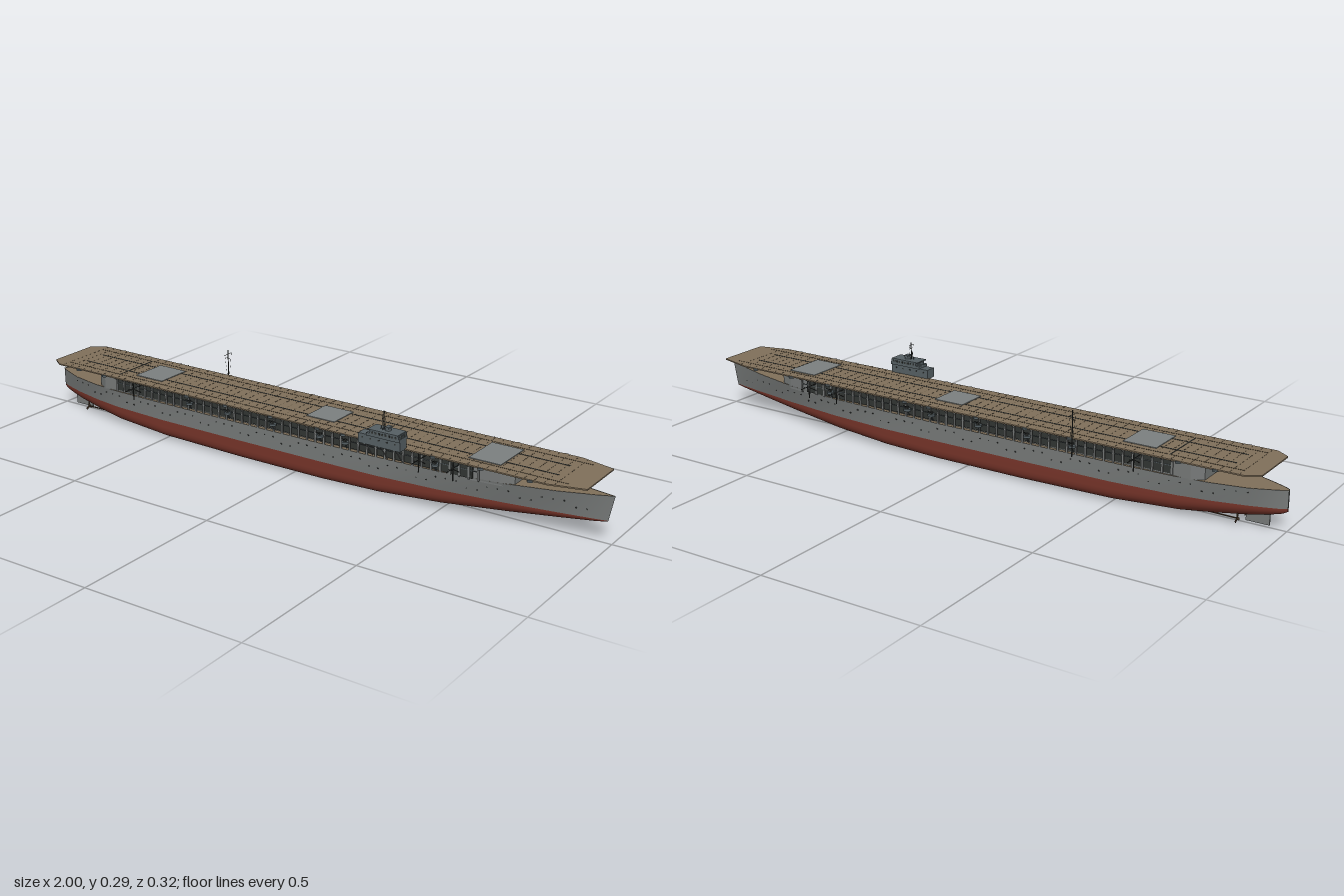
import * as THREE from 'three';
import { mergeGeometries } from 'three/addons/utils/BufferGeometryUtils.js';

const mat = (name, color, side = THREE.FrontSide) => {
  const m = new THREE.MeshStandardMaterial({ color, side });
  m.name = name;
  return m;
};
const M = {
  grey: mat('hullGrey', 0x777a79, THREE.DoubleSide),
  red: mat('bottomRed', 0x78352a, THREE.DoubleSide),
  tan: mat('deckTan', 0x80705a, THREE.DoubleSide),
  seam: mat('seamBrown', 0x5f5342, THREE.DoubleSide),
  dark: mat('darkGrey', 0x323533),
  lift: mat('liftGrey', 0x7b8080),
  island: mat('islandGrey', 0x566064),
  brass: mat('propellerBrown', 0x4d3a2a),
};

// Hull stations: x, keel height, waterline half breadth, deck half breadth, deck height, section roundness
const WL = 0.067;
const stations = [
  [-1, 0.058, 0.002, 0.003, 0.122, 1], [-0.985, 0.05, 0.012, 0.014, 0.122, 1],
  [-0.95, 0.04, 0.024, 0.03, 0.122, 1], [-0.9, 0.03, 0.04, 0.05, 0.122, 0.95],
  [-0.8, 0.017, 0.064, 0.073, 0.123, 0.85], [-0.7, 0.008, 0.08, 0.086, 0.124, 0.7],
  [-0.5, 0.002, 0.092, 0.093, 0.125, 0.5], [-0.2, 0, 0.094, 0.094, 0.125, 0.42],
  [0.1, 0, 0.094, 0.094, 0.125, 0.42], [0.3, 0.004, 0.092, 0.093, 0.126, 0.48],
  [0.5, 0.012, 0.078, 0.087, 0.127, 0.65], [0.7, 0.028, 0.052, 0.068, 0.131, 0.9],
  [0.85, 0.045, 0.027, 0.041, 0.136, 1], [0.95, 0.058, 0.009, 0.015, 0.14, 1],
  [1, 0.064, 0.001, 0.001, 0.143, 1],
];
// Interpolated station value at x
const at = (x, col) => {
  const i = Math.max(1, stations.findIndex((s) => s[0] >= x));
  const a = stations[i - 1], b = stations[i];
  return a[col] + (b[col] - a[col]) * (x - a[0]) / (b[0] - a[0]);
};
// Raked stem
const point = (s, y, z) => [s[0] === 1 ? 1 - (s[4] - y) * 0.2 : s[0], y, z];

function loft(sections) {
  const n = sections[0].length, index = [];
  for (let i = 0; i < sections.length - 1; i++) {
    for (let j = 0; j < n - 1; j++) {
      const a = i * n + j, b = a + n;
      index.push(a, b, b + 1, a, b + 1, a + 1);
    }
  }
  const g = new THREE.BufferGeometry();
  g.setAttribute('position', new THREE.Float32BufferAttribute(sections.flat(2), 3));
  g.setIndex(index);
  g.computeVertexNormals();
  return g;
}

const box = (x, y, z, w, h, d) => new THREE.BoxGeometry(w, h, d).translate(x, y, z);
const cyl = (x, y, z, r, h, sides = 10) => new THREE.CylinderGeometry(r, r, h, sides).translate(x, y, z);
// Thin round bar between two points
function bar(a, b, r = 0.0008) {
  const p = new THREE.Vector3(...a), q = new THREE.Vector3(...b), d = q.clone().sub(p);
  const g = new THREE.CylinderGeometry(r, r, d.length(), 6);
  g.applyQuaternion(new THREE.Quaternion().setFromUnitVectors(new THREE.Vector3(0, 1, 0), d.normalize()));
  return g.translate(...p.add(q).multiplyScalar(0.5).toArray());
}
// Plan outline of half-width corners, mirrored in z and raised from y
function slab(half, y, height) {
  const pts = [...half, ...half.map(([x, z]) => [x, -z]).reverse()];
  const shape = new THREE.Shape(pts.map(([x, z]) => new THREE.Vector2(x, z)));
  return new THREE.ExtrudeGeometry(shape, { depth: height, bevelEnabled: false }).rotateX(-Math.PI / 2).translate(0, y, 0);
}

export function createModel() {
  const ship = new THREE.Group();
  ship.name = 'aircraftCarrier';
  const add = (name, material, ...geos) => {
    const mesh = new THREE.Mesh(geos.length > 1 ? mergeGeometries(geos) : geos[0], material);
    mesh.name = name;
    ship.add(mesh);
  };

  // Hull: red bottom, grey sides, weather deck
  add('hullBottom', M.red, loft(stations.map((s) => Array.from({ length: 25 }, (_, j) => {
    const a = (j / 12 - 1) * Math.PI / 2;
    const z = Math.sign(a) * s[2] * Math.abs(Math.sin(a)) ** s[5];
    return point(s, WL - (WL - s[1]) * Math.max(0, Math.cos(a)) ** s[5], z);
  }))));
  add('hullSides', M.grey,
    loft(stations.map((s) => [point(s, WL, s[2]), point(s, s[4], s[3])])),
    loft(stations.map((s) => [point(s, s[4], -s[3]), point(s, WL, -s[2])])));
  add('weatherDeck', M.tan, loft(stations.map((s) => [point(s, s[4] - 0.001, s[3]), point(s, s[4] - 0.001, -s[3])])));

  // Portholes
  const ports = [];
  for (let i = 0; i < 60; i++) {
    const x = -0.9 + i * 0.031, y = i % 5 < 3 ? 0.108 : 0.092;
    const t = (y - WL) / (at(x, 4) - WL), z = at(x, 2) * (1 - t) + at(x, 3) * t;
    for (const s of [-1, 1]) ports.push(box(x, y, s * z, 0.004, 0.003, 0.003));
  }
  add('portholes', M.dark, ...ports);

  // Rudder, shafts and propellers
  add('rudder', M.grey, box(-0.915, 0.024, 0, 0.07, 0.034, 0.005));
  const screws = [];
  for (const s of [-1, 1]) {
    screws.push(bar([-0.87, 0.02, s * 0.032], [-0.7, 0.022, s * 0.032], 0.002));
    for (let k = 0; k < 3; k++) {
      screws.push(box(0, 0.008, 0, 0.002, 0.014, 0.007).rotateX(k * Math.PI * 2 / 3).translate(-0.868, 0.02, s * 0.032));
    }
  }
  add('propellers', M.brass, ...screws);

  // Hangar with chamfered ends and dark recessed side walls
  add('hangar', M.grey, slab([[-0.78, 0.063], [-0.745, 0.081], [0.6, 0.077], [0.69, 0.068], [0.73, 0.057]], 0.121, 0.058));
  add('hangarOpenings', M.dark, ...[-1, 1].map((s) => box(-0.04, 0.153, s * 0.08, 1.3, 0.05, 0.006)));

  // Gallery posts, rails and walkway brackets
  const posts = [], rails = [];
  for (let i = 0; i <= 44; i++) {
    const x = -0.69 + i * 0.03, z = Math.max(0.084, at(x, 3) - 0.002);
    for (const s of [-1, 1]) {
      posts.push(box(x, 0.152, s * z, 0.006, 0.054, 0.003));
      posts.push(bar([x, 0.164, s * z], [x, 0.178, s * 0.108], 0.001));
      if (i < 44) rails.push(box(x + 0.015, 0.152, s * (z - 0.001), 0.031, 0.002, 0.002));
    }
  }
  add('galleryPosts', M.grey, ...posts);
  add('galleryRails', M.island, ...rails);

  // Flight deck
  add('flightDeck', M.tan, slab([[-0.955, 0.086], [-0.915, 0.113], [0.85, 0.113], [0.955, 0.086]], 0.178, 0.004));
  const dashes = [];
  for (let i = 0; i < 62; i++) {
    for (let j = -5; j <= 5; j++) dashes.push(box(-0.9 + i * 0.029, 0.1822, j * 0.02, 0.0016, 0.0006, 0.012));
  }
  add('tieDownStrips', M.seam, ...dashes);
  add('thinDeckLines', M.seam, ...[-0.08, 0.08].map((z) => box(0, 0.1823, z, 1.8, 0.0008, 0.0015)));
  add('deckLines', M.dark, ...[-0.038, 0.038].map((z) => box(-0.005, 0.1824, z, 1.71, 0.001, 0.004)),
    box(-0.68, 0.1824, 0, 0.003, 0.001, 0.165));

  // Lifts
  add('lifts', M.lift, ...[[-0.575, 0.105, 0.12], [0.08, 0.1, 0.104], [0.64, 0.1, 0.138]]
    .map(([x, w, d]) => box(x, 0.1826, 0, w, 0.003, d)));

  // Gun platforms along both sides
  const tubs = [], guns = [];
  for (const x of [-0.83, -0.72, -0.38, -0.23, -0.06, 0.11, 0.2, 0.5, 0.65, 0.8]) {
    for (const s of [-1, 1]) {
      tubs.push(cyl(x, 0.178, s * 0.11, 0.009, 0.006, 12));
      if (x < -0.7 || x > 0.6) continue;
      tubs.push(cyl(x, 0.15, s * 0.099, 0.011, 0.007, 12), bar([x, 0.148, s * 0.102], [x, 0.13, s * 0.09], 0.002));
      guns.push(box(x, 0.157, s * 0.1, 0.008, 0.007, 0.008));
      for (const e of [-0.002, 0.002]) guns.push(bar([x + e, 0.158, s * 0.1], [x + e, 0.168, s * 0.117], 0.0009));
    }
  }
  add('gunPlatforms', M.island, ...tubs);
  add('guns', M.dark, ...guns);

  // Outrigger booms
  const booms = [];
  for (const x of [-0.59, 0.46, 0.57]) {
    for (const s of [-1, 1]) {
      booms.push(bar([x, 0.163, s * 0.078], [x, 0.163, s * 0.158], 0.0014));
      booms.push(bar([x, 0.125, s * 0.12], [x, 0.18, s * 0.12], 0.0018));
      booms.push(bar([x - 0.007, 0.163, s * 0.135], [x + 0.007, 0.163, s * 0.135], 0.001));
      booms.push(bar([x, 0.14, s * 0.085], [x, 0.163, s * 0.125], 0.001));
    }
  }
  add('outriggerBooms', M.dark, ...booms);

  // Island with bridge, director and supports
  add('island', M.island,
    box(0.34, 0.195, 0.122, 0.14, 0.03, 0.036), box(0.355, 0.2135, 0.122, 0.11, 0.009, 0.044),
    box(0.36, 0.221, 0.122, 0.095, 0.014, 0.046), box(0.355, 0.229, 0.122, 0.1, 0.003, 0.048),
    cyl(0.36, 0.234, 0.122, 0.009, 0.01, 14), box(0.36, 0.24, 0.122, 0.014, 0.005, 0.02),
    cyl(0.31, 0.215, 0.122, 0.011, 0.012, 14));
  const windows = [];
  for (const s of [-1, 1]) {
    for (let i = 0; i < 8; i++) windows.push(box(0.321 + i * 0.011, 0.222, 0.122 + s * 0.023, 0.006, 0.006, 0.002));
    for (let i = 0; i < 5; i++) windows.push(box(0.285 + i * 0.027, 0.2, 0.122 + s * 0.018, 0.005, 0.004, 0.002));
  }
  for (let i = -2; i <= 2; i++) windows.push(box(0.4075, 0.222, 0.122 + i * 0.008, 0.002, 0.006, 0.005));
  add('bridgeWindows', M.dark, ...windows);
  add('islandSupports', M.grey, ...[0.29, 0.34, 0.39].flatMap((x) => [
    bar([x, 0.13, 0.092], [x, 0.18, 0.132], 0.002), box(x, 0.179, 0.122, 0.006, 0.003, 0.034)]));

  // Masts, yards and rigging
  add('islandMast', M.dark, cyl(0.345, 0.257, 0.122, 0.0016, 0.057),
    bar([0.345, 0.277, 0.11], [0.345, 0.277, 0.134]), bar([0.345, 0.266, 0.112], [0.345, 0.266, 0.132]),
    bar([0.335, 0.23, 0.122], [0.345, 0.262, 0.122]));
  add('sideMast', M.dark, cyl(-0.39, 0.195, -0.115, 0.0016, 0.14),
    bar([-0.39, 0.252, -0.095], [-0.39, 0.252, -0.131]), bar([-0.397, 0.238, -0.115], [-0.383, 0.238, -0.115]));
  const wires = [];
  for (const e of [-1, 1]) {
    wires.push(bar([-0.39, 0.252, -0.115 + e * 0.017], [-0.39, 0.183, -0.115 + e * 0.006], 0.0003));
    wires.push(bar([0.345, 0.277, 0.122 + e * 0.011], [0.345, 0.23, 0.122 + e * 0.006], 0.0003));
  }
  add('rigging', M.dark, ...wires);

  return ship;
}
